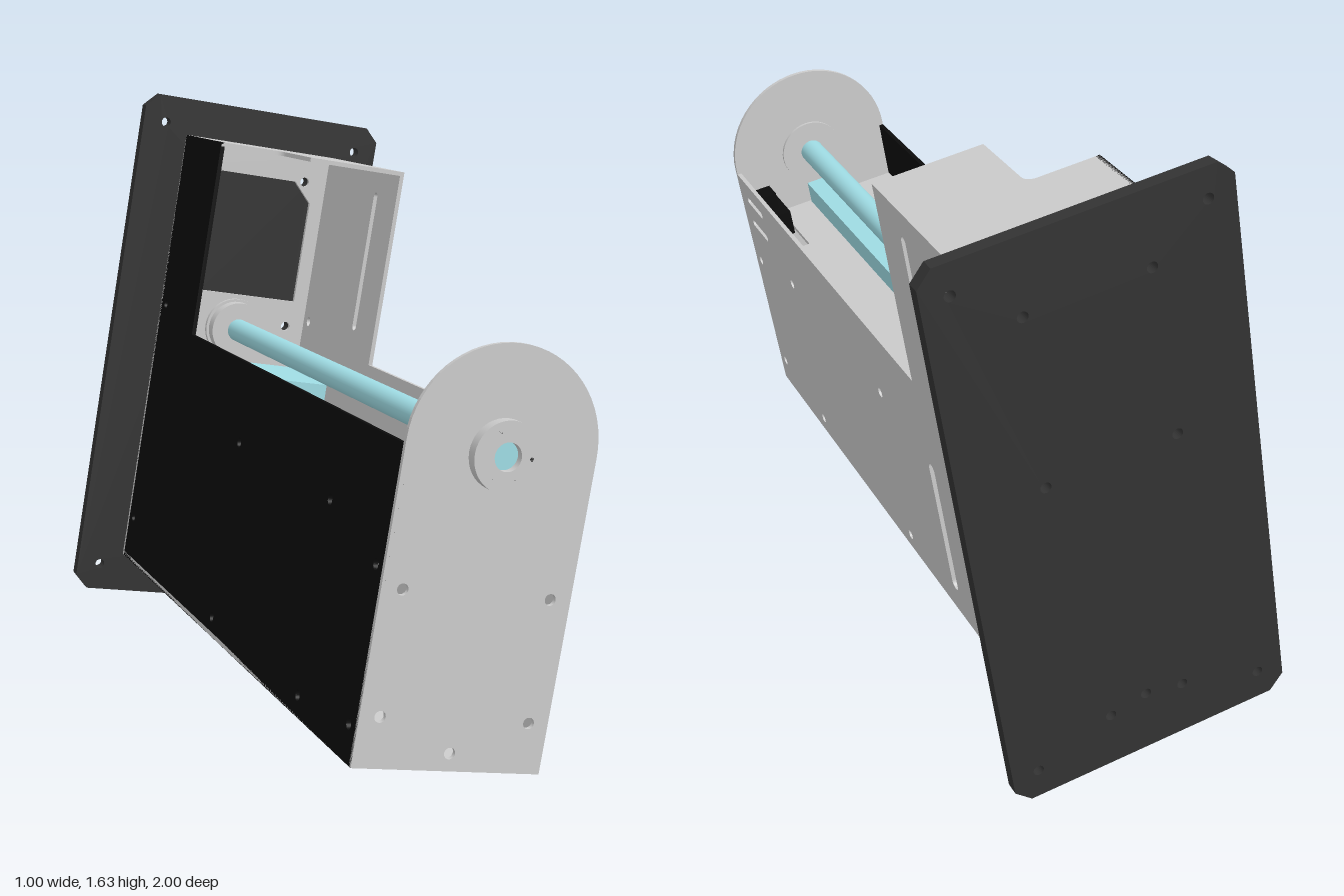
import * as THREE from 'three';

const T = 0.012;                       // sheet thickness
const W = 0.241, BOT = -0.653, TOP = 0.662, LOW = 0.097; // housing limits
const FRONT = 0.97, BACK = -0.963;

const mat = (color) => new THREE.MeshStandardMaterial({ color, side: THREE.DoubleSide });

// Closed round hole
function circle(x, y, r = 0.014) {
  return new THREE.Path().absarc(x, y, r, 0, Math.PI * 2, true);
}

// Round-ended slot between two points
function slot(x1, y1, x2, y2, r) {
  const a = Math.atan2(y2 - y1, x2 - x1);
  const p = new THREE.Path();
  p.absarc(x2, y2, r, a - Math.PI / 2, a + Math.PI / 2, false);
  p.absarc(x1, y1, r, a + Math.PI / 2, a + Math.PI * 1.5, false);
  p.closePath();
  return p;
}

const polygon = (pts) => new THREE.Shape(pts.map(([x, y]) => new THREE.Vector2(x, y)));

export function createModel() {
  const model = new THREE.Group();
  const body = new THREE.Group();
  body.name = 'tiltedBody';
  body.rotation.z = -THREE.MathUtils.degToRad(10);
  body.position.y = 0.817;
  model.add(body);

  const grey = mat(0xcccccc), dark = mat(0x333333), black = mat(0x0c0c0c);
  const cyan = mat(0x9fdce4), green = mat(0x2e6b35);

  function add(name, geo, material, x = 0, y = 0, z = 0) {
    const m = new THREE.Mesh(geo, material);
    m.name = name;
    m.position.set(x, y, z);
    body.add(m);
    return m;
  }
  function sheet(shape, holes, depth = T) {
    shape.holes.push(...holes);
    return new THREE.ExtrudeGeometry(shape, { depth, bevelEnabled: false, curveSegments: 16 });
  }
  // Box given by its limits
  function block(name, material, x0, x1, y0, y1, z0, z1) {
    return add(name, new THREE.BoxGeometry(x1 - x0, y1 - y0, z1 - z0), material,
      (x0 + x1) / 2, (y0 + y1) / 2, (z0 + z1) / 2);
  }

  // Mounting plate with chamfered corners
  const c = 0.04, pw = 0.38, ph = 0.77;
  const plate = polygon([[-pw + c, -ph], [pw - c, -ph], [pw, -ph + c], [pw, ph - c],
    [pw - c, ph], [-pw + c, ph], [-pw, ph - c], [-pw, -ph + c]]);
  const boltHoles = [[-0.158, 0.575], [0.158, 0.575], [-0.1, -0.62], [0, -0.6], [0.1, -0.62],
    [-0.17, 0.12], [0.17, 0.12]];
  const plateHoles = boltHoles.map(([x, y]) => circle(x, y));
  for (const sx of [-1, 1]) for (const sy of [-1, 1]) plateHoles.push(circle(sx * 0.31, sy * 0.69));
  add('mountingPlate', sheet(plate, plateHoles, 0.037), dark, 0, 0, -1);

  // Rear panel with chamfered opening
  const opening = new THREE.Path([[-0.186, 0.2], [-0.186, 0.511], [-0.128, 0.572],
    [0.128, 0.572], [0.186, 0.511], [0.186, 0.2]].map(([x, y]) => new THREE.Vector2(x, y)));
  opening.closePath();
  const rear = polygon([[-W, BOT], [W, BOT], [W, TOP], [-W, TOP]]);
  add('rearPanel', sheet(rear, [opening, ...boltHoles.map(([x, y]) => circle(x, y))]), grey, 0, 0, BACK);

  // Front panel with rounded top
  const front = new THREE.Shape();
  front.moveTo(-W, BOT);
  front.lineTo(W, BOT);
  front.lineTo(W, LOW + 0.012);
  front.absarc(0, LOW + 0.012, W, 0, Math.PI, false);
  front.closePath();
  const frontHoles = [circle(0, 0.095, 0.04)];
  for (const s of [-1, 1]) {
    frontHoles.push(circle(s * 0.188, -0.232), circle(s * 0.19, -0.53));
  }
  frontHoles.push(circle(0, -0.61));
  add('frontPanel', sheet(front, frontHoles), grey, 0, 0, FRONT - T);

  // Side panels, drawn in (z, height)
  const sideHoles = () => [[0.92, -0.19], [0.6, -0.115], [-0.08, -0.115], [0.92, -0.565],
    [0.6, -0.603], [-0.08, -0.603], [-0.91, -0.522], [-0.91, 0.148]].map(([z, y]) => circle(z, y));
  const sideShape = (step) => polygon([[FRONT, BOT], [FRONT, LOW], [step, LOW], [step, TOP],
    [BACK, TOP], [BACK, BOT]]);
  const slots = [slot(-0.54, 0.19, -0.54, 0.575, 0.0135)];
  for (const z of [-0.4, -0.54]) slots.push(slot(z, -0.555, z, -0.175, 0.018));
  for (const y of [0.036, -0.043]) {
    slots.push(slot(0.78, y, 0.893, y, 0.01), slot(-0.8, y, -0.69, y, 0.01));
  }
  add('leftSidePanel', sheet(sideShape(-0.387), [...sideHoles(), ...slots]), grey, W)
    .rotation.y = -Math.PI / 2;
  add('rightSidePanel', sheet(sideShape(-0.62), sideHoles()), black, -W + T)
    .rotation.y = -Math.PI / 2;

  // Horizontal sheets, drawn in (x, -z)
  function level(name, shape, holes, y) {
    add(name, sheet(shape, holes), grey, 0, y).rotation.x = -Math.PI / 2;
  }
  const floorHoles = [0.39, 0.22, 0.063].map((z) => new THREE.Path([
    [-0.145, -z - 0.028], [0.135, -z - 0.028], [0.135, -z + 0.028], [-0.145, -z + 0.028],
  ].map(([x, y]) => new THREE.Vector2(x, y))));
  for (const z of [0.9, 0.6, -0.08, -0.8]) floorHoles.push(circle(0.2, -z), circle(-0.2, -z));
  level('floorPanel', polygon([[-W, -FRONT], [W, -FRONT], [W, -BACK], [-W, -BACK]]), floorHoles, BOT);

  // Deck with a corner notch for the sensor
  const deck = polygon([[-W + T, -FRONT + T], [0.135, -FRONT + T], [0.135, -0.71], [0.227, -0.71],
    [0.227, 0.95], [-W + T, 0.95]]);
  const deckHoles = [];
  for (const x of [-0.19, 0.19]) for (const z of [-0.08, 0.595]) deckHoles.push(circle(x, -z));
  level('deck', deck, deckHoles, -0.082);

  // Top cover, notched with a rounded inside corner
  const cover = new THREE.Shape();
  cover.moveTo(W, 0.387);
  cover.lineTo(W, -BACK);
  cover.lineTo(-W, -BACK);
  cover.lineTo(-W, 0.62);
  cover.lineTo(-0.08, 0.62);
  cover.quadraticCurveTo(-0.05, 0.62, -0.05, 0.59);
  cover.lineTo(-0.05, 0.387);
  cover.closePath();
  level('topCover', cover, [circle(-0.114, 0.925), circle(0.114, 0.925)], TOP - T);

  // Shaft and its bearing collars
  const shaft = new THREE.CylinderGeometry(0.034, 0.034, 1.93, 32).rotateX(Math.PI / 2);
  add('shaft', shaft, cyan, 0, 0.095, 0.015);
  const ring = new THREE.LatheGeometry([[0.034, -0.025], [0.092, -0.025], [0.092, -0.012],
    [0.084, -0.012], [0.084, 0.025], [0.034, 0.025], [0.034, -0.025]]
    .flatMap(([x, y]) => [new THREE.Vector2(x, y), new THREE.Vector2(x, y)]), 40).rotateX(Math.PI / 2);
  add('frontCollar', ring, grey, 0, 0.095, 0.975);
  add('rearCollar', ring, grey, 0, 0.095, -0.926);
  for (let i = 0; i < 6; i++) {
    const a = i * Math.PI / 3;
    add('collarScrew', new THREE.CylinderGeometry(0.005, 0.005, 0.004, 10).rotateX(Math.PI / 2),
      dark, 0.06 * Math.cos(a), 0.095 + 0.06 * Math.sin(a), 0.998);
  }

  // Linear rail, carriage and drive block
  block('rail', cyan, -0.036, 0.036, -0.07, -0.005, -0.93, 0.95);
  block('carriage', cyan, -0.078, 0.078, -0.055, 0.035, -0.62, -0.31);
  block('driveBlock', cyan, 0.06, 0.215, -0.48, -0.085, -0.62, -0.34);

  // Position sensor beside the deck notch
  block('sensorBody', black, 0.185, 0.227, -0.12, 0.095, 0.77, 0.83);
  block('sensorArm', black, 0.165, 0.215, -0.03, 0.045, 0.73, 0.87);

  // Circuit board above the floor vents
  block('circuitBoard', green, -0.17, 0.17, -0.62, -0.605, -0.06, 0.13);

  return model;
}
